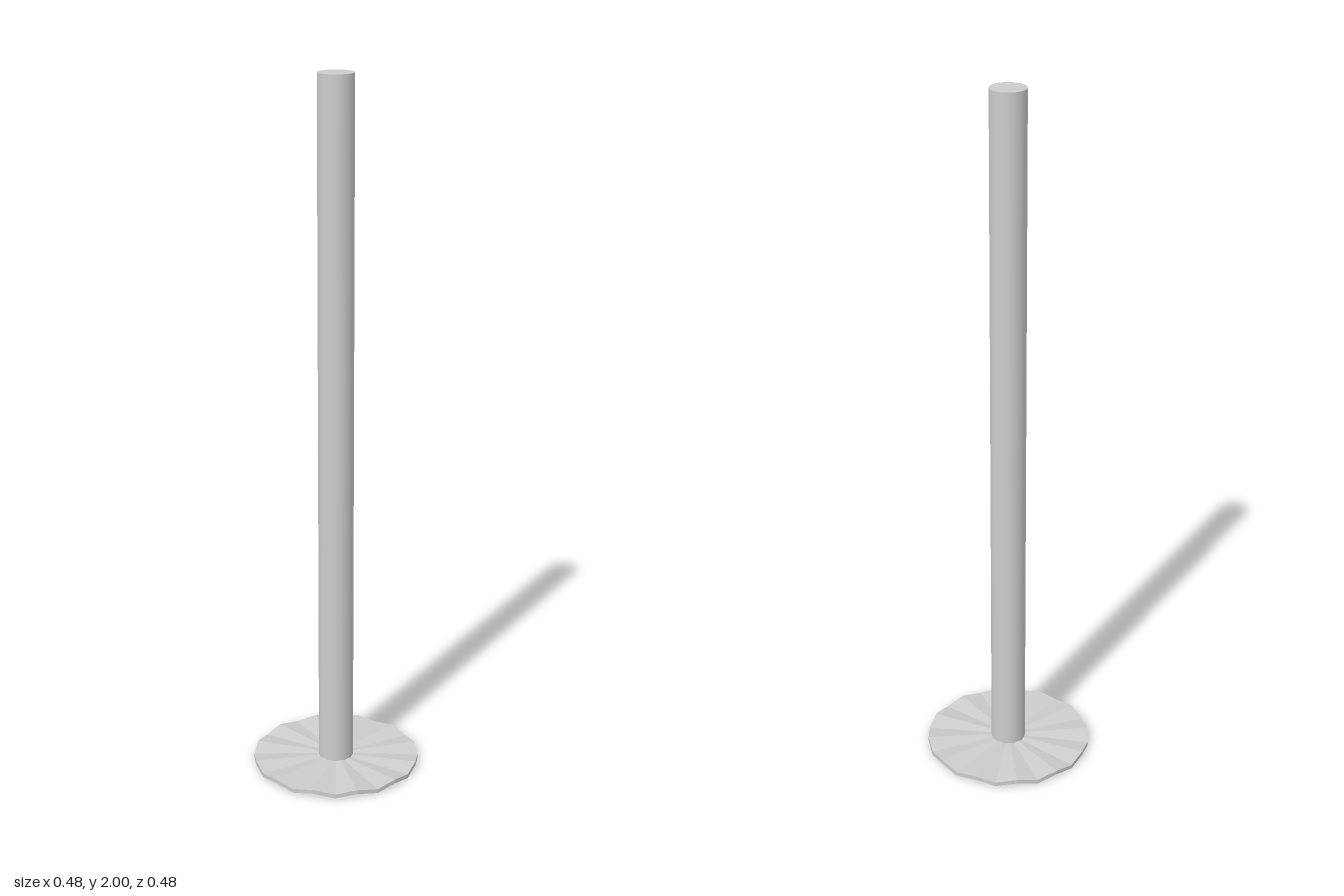
import * as THREE from 'three';

const SIDES = 24, RADIUS = 0.24, THICK = 0.012, WAVE = 0.005;

export function createModel() {
  const group = new THREE.Group();
  const grey = new THREE.MeshStandardMaterial({ color: 0xcccccc });

  // Pleated base plate: every other rim corner is raised, the rest lowered
  const plate = new THREE.CylinderGeometry(RADIUS, RADIUS, THICK, SIDES);
  const pos = plate.attributes.position;
  for (let i = 0; i < pos.count; i++) {
    const x = pos.getX(i), z = pos.getZ(i);
    if (Math.hypot(x, z) < 0.01) continue;
    const k = Math.round(Math.atan2(z, x) / (2 * Math.PI / SIDES));
    pos.setY(i, pos.getY(i) + (k % 2 === 0 ? WAVE : -WAVE));
  }
  const base = new THREE.Mesh(plate.toNonIndexed(), grey);
  base.geometry.computeVertexNormals();
  base.name = 'base';
  base.position.y = THICK / 2 + WAVE;
  group.add(base);

  // Round upright post
  const bottom = 0.005;
  const post = new THREE.Mesh(new THREE.CylinderGeometry(0.05, 0.05, 2 - bottom, 48), grey);
  post.name = 'post';
  post.position.y = (2 + bottom) / 2;
  group.add(post);

  return group;
}
